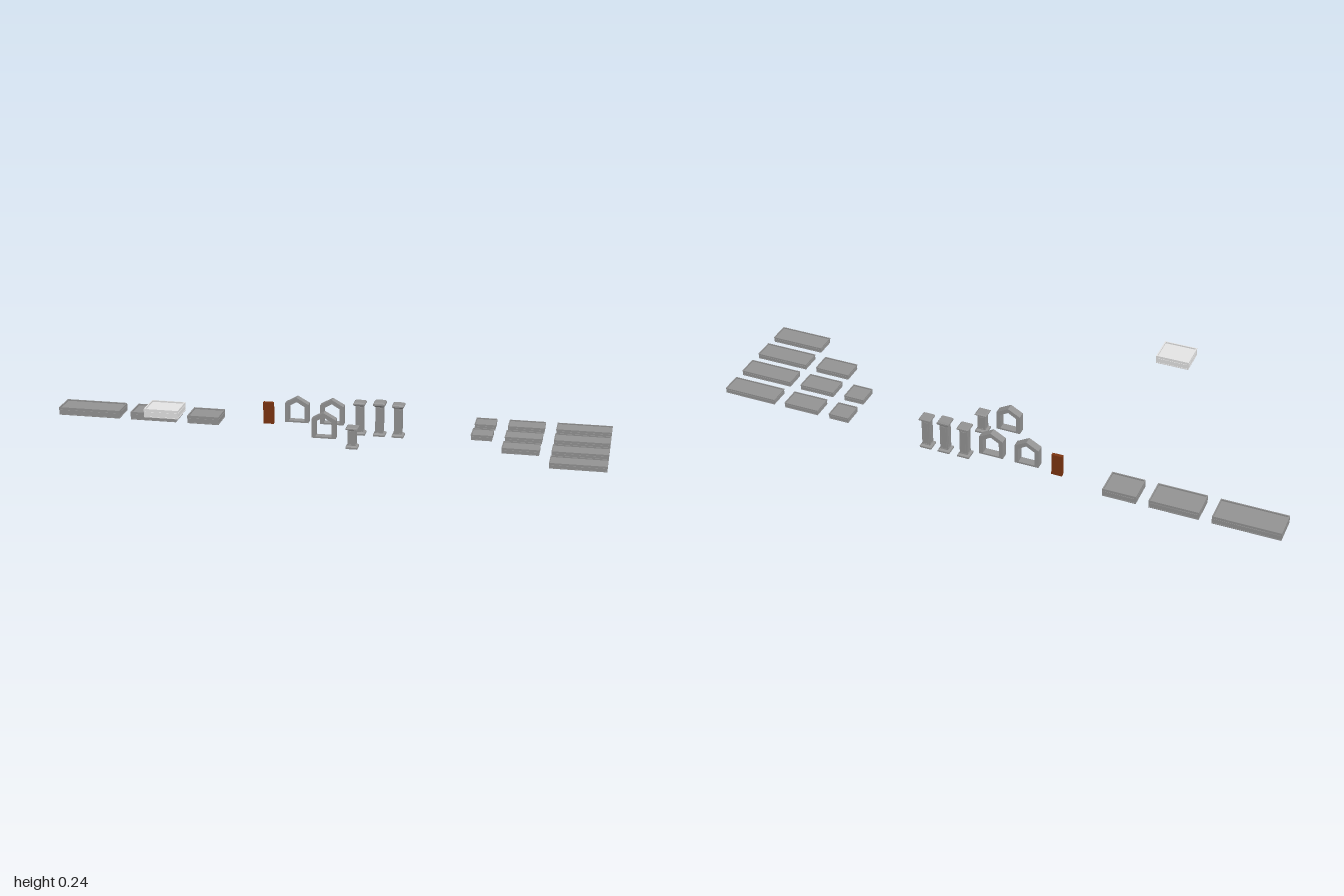
import * as THREE from 'three';

const mat = (name, color) => {
  const m = new THREE.MeshStandardMaterial({ color });
  m.name = name;
  return m;
};

export function createModel() {
  const stone = mat('stone', 0x939393);
  const pale = mat('paleStone', 0xe4e4e4);
  const wood = mat('wood', 0x7c3410);
  const root = new THREE.Group();

  const add = (group, name, geo, m, x = 0, y = 0, z = 0) => {
    const mesh = new THREE.Mesh(geo, m);
    mesh.name = name;
    mesh.position.set(x, y, z);
    group.add(mesh);
    return mesh;
  };
  const part = (name, x, y, z) => {
    const g = new THREE.Group();
    g.name = name;
    g.position.set(x, y, z);
    root.add(g);
    return g;
  };
  const box = (w, h, d) => new THREE.BoxGeometry(w, h, d);

  // Rectangular block with straight tapering sides, standing on y = 0
  const taper = (bottom, top, h) => {
    const geo = new THREE.CylinderGeometry(top * Math.SQRT1_2, bottom * Math.SQRT1_2, h, 4).toNonIndexed();
    geo.rotateY(Math.PI / 4).translate(0, h / 2, 0);
    geo.computeVertexNormals();
    return geo;
  };

  // Rectangular frame of depth h and border t, facing +z from z = 0
  const frame = (w, d, h, t) => {
    const rect = (P, a, b) => {
      const s = new P();
      s.moveTo(-a, -b); s.lineTo(a, -b); s.lineTo(a, b); s.lineTo(-a, b); s.closePath();
      return s;
    };
    const shape = rect(THREE.Shape, w / 2, d / 2);
    shape.holes.push(rect(THREE.Path, w / 2 - t, d / 2 - t));
    return new THREE.ExtrudeGeometry(shape, { depth: h, bevelEnabled: false });
  };

  // Block whose four sides carry a border, a groove and a raised panel
  const panelled = (g, name, w, h, d, y, border, m) => {
    const deep = 0.0015, inset = 2 * border + 0.004;
    add(g, name, box(w - 2 * deep, h, d - 2 * deep), m, 0, y, 0);
    for (let i = 0; i < 4; i++) {
      const along = i % 2 ? d : w, back = (i % 2 ? w : d) / 2 - deep;
      const side = new THREE.Group();
      side.name = 'sidePanel';
      side.rotation.y = i * Math.PI / 2;
      g.add(side);
      add(side, 'panelBorder', frame(along, h, deep, border), m, 0, y, back);
      add(side, 'panelFace', box(along - inset, h - inset, deep), m, 0, y, back + deep / 2);
    }
  };

  // Panelled platform with a shallow recessed top
  const platform = (name, x0, x1, y, z, m) => {
    const w = x1 - x0, d = 0.097, h = 0.024;
    const g = part(name, (x0 + x1) / 2, y, z);
    panelled(g, 'body', w, h, d, h / 2, 0.003, m);
    add(g, 'rim', frame(w, d, 0.005, 0.004).rotateX(-Math.PI / 2), m, 0, h, 0);
  };
  [[-1, -0.77], [-0.727, -0.557], [-0.514, -0.398]].forEach(([a, b]) =>
    platform('platform', a, b, 0.013, -0.258, stone));
  platform('palePlatform', -0.514, -0.398, 0.208, 0.262, pale);

  // Slabs with an overhanging lip, in rows of three lengths
  const slab = (x0, x1, z) => {
    const w = x1 - x0, d = 0.073;
    const g = part('slab', (x0 + x1) / 2, 0.051, z);
    panelled(g, 'body', w - 0.002, 0.016, d - 0.002, 0.008, 0.002, stone);
    add(g, 'lip', frame(w, d, 0.004, 0.003).rotateX(-Math.PI / 2), stone, 0, 0.016, 0);
  };
  [[0.523, 0.597, 2], [0.64, 0.768, 3], [0.808, 1, 4]].forEach(([a, b, n]) => {
    for (let i = 0; i < n; i++) slab(a, b, -0.273 + i * 0.115);
  });

  // Square pillars: stepped foot, panelled shaft, chamfered capital
  const pillar = (x, z, h, cap) => {
    const g = part('pillar', x, 0, z);
    const s = 0.028, shaftH = h - cap - 0.01, c = cap / 3;
    add(g, 'plinth', box(0.042, 0.006, 0.042), stone, 0, 0.003, 0);
    add(g, 'foot', taper(0.042, 0.03, 0.005), stone, 0, 0.006, 0);
    panelled(g, 'shaft', s, shaftH, s, 0.01 + shaftH / 2, 0.004, stone);
    add(g, 'capitalUnder', taper(0.03, 0.042, c), stone, 0, h - cap, 0);
    add(g, 'capital', box(0.042, c, 0.042), stone, 0, h - cap + 1.5 * c, 0);
    add(g, 'capitalTop', taper(0.042, 0.034, c), stone, 0, h - c, 0);
  };
  pillar(0.111, -0.257, 0.122, 0.014);
  pillar(0.183, -0.257, 0.127, 0.018);
  pillar(0.25, -0.257, 0.122, 0.014);
  pillar(0.111, -0.107, 0.078, 0.01);

  // Window arches with a pointed head
  const outline = (P, pts) => new P([...pts, ...pts.slice().reverse().filter(p => p[0] > 0)
    .map(([x, y]) => [-x, y])].map(p => new THREE.Vector2(...p)));
  const arch = (x, z) => {
    const g = part('windowArch', x, 0.031, z);
    const shape = outline(THREE.Shape, [[0.043, 0], [0.043, 0.069], [0, 0.093]]);
    shape.holes.push(outline(THREE.Path, [[0.029, 0.006], [0.029, 0.06], [0, 0.077]]));
    const geo = new THREE.ExtrudeGeometry(shape, { depth: 0.028, bevelEnabled: false });
    add(g, 'archFrame', geo.translate(0, 0, -0.014), stone);
  };
  arch(-0.117, -0.257);
  arch(0.011, -0.257);
  arch(0.011, -0.107);

  // Door leaf
  const door = part('door', -0.223, 0.016, -0.26);
  add(door, 'leaf', box(0.038, 0.08, 0.012), wood, 0, 0.04, 0);

  return root;
}
